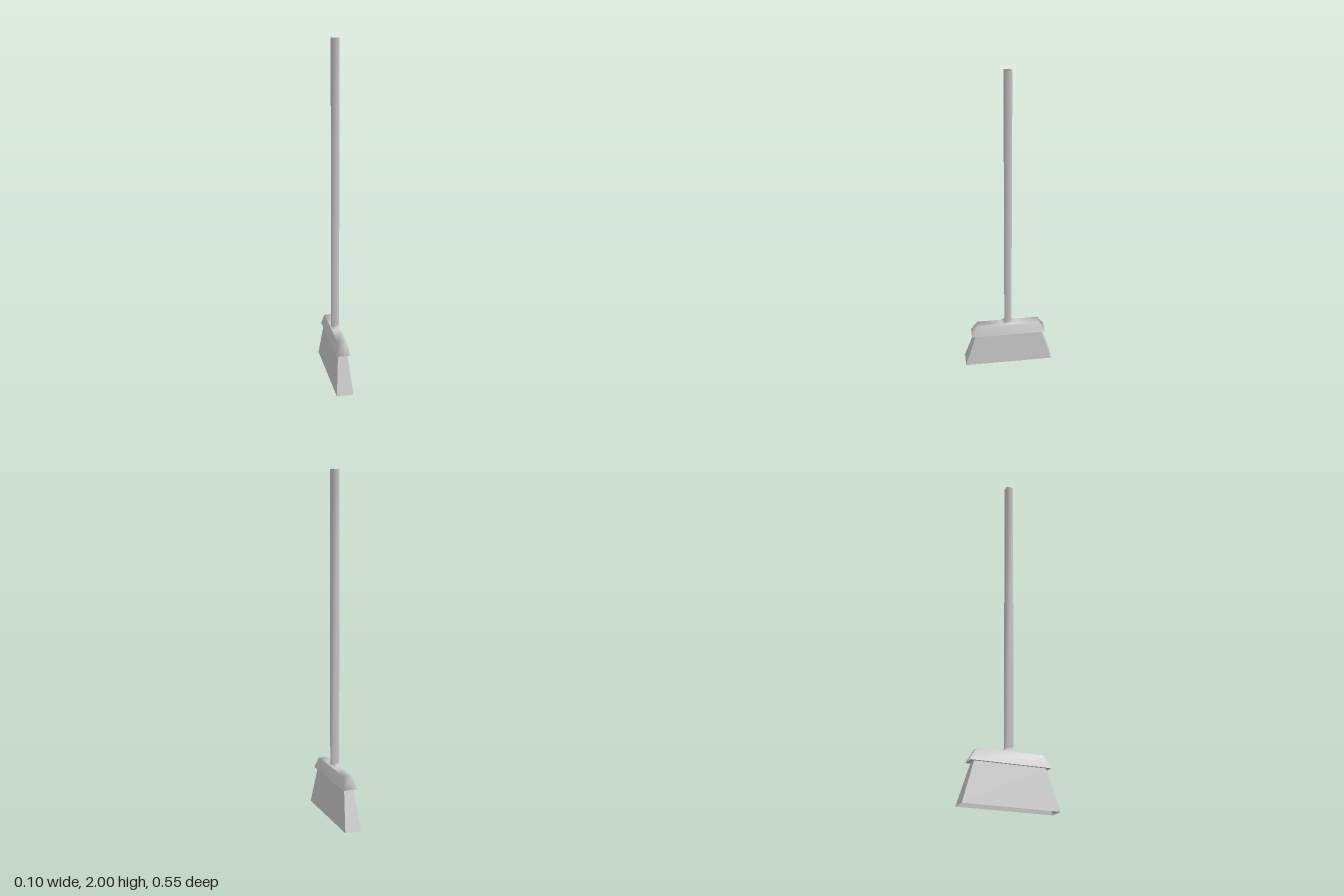
import * as THREE from 'three';

// Lofts rectangular rings [halfX, y, halfZ], ordered along the surface.
function loft(rings, closeTop = false) {
  const corners = [[1, 1], [1, -1], [-1, -1], [-1, 1]];
  const positions = [];
  const index = [];
  rings.forEach(([hx, y, hz], r) => {
    for (const [sx, sz] of corners) positions.push(sx * hx, y, sz * hz);
    if (r === 0) return;
    for (let i = 0; i < 4; i++) {
      const a = (r - 1) * 4 + i;
      const b = (r - 1) * 4 + (i + 1) % 4;
      index.push(a, b, b + 4, a, b + 4, a + 4);
    }
  });
  if (closeTop) {
    const t = (rings.length - 1) * 4;
    index.push(t, t + 1, t + 2, t, t + 2, t + 3);
  }
  const geometry = new THREE.BufferGeometry();
  geometry.setAttribute('position', new THREE.Float32BufferAttribute(positions, 3));
  geometry.setIndex(index);
  geometry.computeVertexNormals();
  return geometry;
}

export function createModel() {
  const group = new THREE.Group();
  const add = (name, geometry, flatShading) => {
    const material = new THREE.MeshStandardMaterial({
      color: 0xcccccc, flatShading, side: THREE.DoubleSide,
    });
    const mesh = new THREE.Mesh(geometry, material);
    mesh.name = name;
    group.add(mesh);
  };

  // Square stick with softened shading
  add('handle', loft([[0.02, 0.325, 0.02], [0.02, 2, 0.02]], true), false);

  // Sloping cap that flares into the stick
  add('head', loft([
    [0.04, 0.23, 0.23],
    [0.027, 0.3, 0.19],
    [0.025, 0.302, 0.042],
    [0.021, 0.312, 0.025],
    [0.02, 0.325, 0.02],
  ]), false);

  // Underside lip between cap and bristles
  add('headLip', loft([[0.027, 0.23, 0.205], [0.04, 0.23, 0.23]]), true);

  // Hollow flared bristle block, open at the bottom
  add('bristles', loft([[0.049, 0, 0.275], [0.027, 0.235, 0.204]], true), true);

  return group;
}
